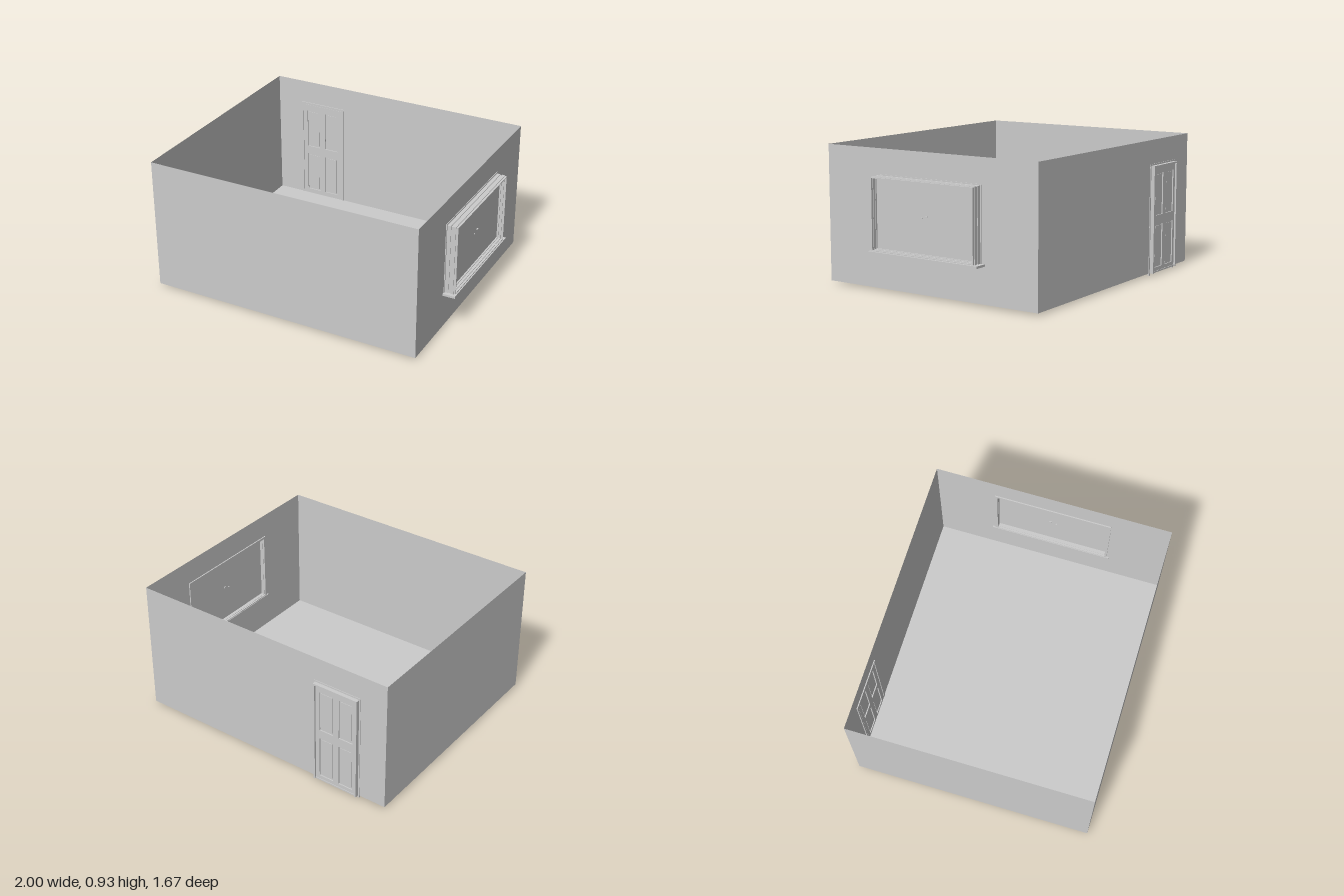
import * as THREE from 'three';

const grey = new THREE.MeshStandardMaterial({ color: 0xcccccc, flatShading: true, side: THREE.DoubleSide });

// room extents
const X0 = -1, X1 = 0.915, Z0 = -0.81, Z1 = 0.835, Y0 = 0.015, Y1 = 0.93;

function add(parent, name, geometry) {
  const mesh = new THREE.Mesh(geometry, grey);
  mesh.name = name;
  parent.add(mesh);
  return mesh;
}

function trace(path, [a0, b0, a1, b1]) {
  path.moveTo(a0, b0);
  path.lineTo(a1, b0);
  path.lineTo(a1, b1);
  path.lineTo(a0, b1);
  path.closePath();
  return path;
}

// rectangle [left, bottom, right, top] with rectangular holes
function plate(rect, holes = []) {
  const shape = trace(new THREE.Shape(), rect);
  shape.holes = holes.map(h => trace(new THREE.Path(), h));
  return shape;
}

const inset = ([a, b, c, d], t) => [a + t, b + t, c - t, d - t];

// slab facing z, between z0 and z1
function slabZ(shape, z0, z1) {
  return new THREE.ExtrudeGeometry(shape, { depth: z1 - z0, bevelEnabled: false }).translate(0, 0, z0);
}

// slab facing x, drawn in (z, y), between x0 and x1
function slabX(shape, x0, x1) {
  return new THREE.ExtrudeGeometry(shape, { depth: x1 - x0, bevelEnabled: false })
    .rotateY(-Math.PI / 2).translate(x1, 0, 0);
}

// box from its min and max corners
function block(x0, y0, z0, x1, y1, z1) {
  return new THREE.BoxGeometry(x1 - x0, y1 - y0, z1 - z0)
    .translate((x0 + x1) / 2, (y0 + y1) / 2, (z0 + z1) / 2);
}

const windowRect = [-0.39, 0.268, 0.42, 0.755];
const doorRect = [-0.80, 0.015, -0.47, 0.755];

// paper-thin walls and floor, open at the top
function createRoom() {
  const room = new THREE.Group();
  room.name = 'room';
  const floor = new THREE.PlaneGeometry(X1 - X0, Z1 - Z0).rotateX(-Math.PI / 2);
  add(room, 'floor', floor.translate((X0 + X1) / 2, Y0, (Z0 + Z1) / 2));

  const across = [X0, Y0, X1, Y1], along = [Z0, Y0, Z1, Y1];
  const doorHole = [-0.795, 0.02, -0.475, 0.75];
  add(room, 'frontWall', new THREE.ShapeGeometry(plate(across)).translate(0, 0, Z1));
  add(room, 'backWall', new THREE.ShapeGeometry(plate(across, [doorHole])).translate(0, 0, Z0));
  add(room, 'rightWall', new THREE.ShapeGeometry(plate(along)).rotateY(-Math.PI / 2).translate(X0, 0, 0));
  add(room, 'leftWall', new THREE.ShapeGeometry(plate(along, [inset(windowRect, 0.005)]))
    .rotateY(-Math.PI / 2).translate(X1, 0, 0));
  return room;
}

function createWindow() {
  const win = new THREE.Group();
  win.name = 'window';

  // stepped casing: [x0, x1, inset of the outer edge, inset of the opening]
  const rings = [
    [0.92, 0.945, 0, 0.01],
    [0.945, 0.96, 0.004, 0.018],
    [0.96, 0.978, 0, 0.014],
    [0.978, 0.993, 0.004, 0.01],
  ];
  for (const [x0, x1, outer, inner] of rings) {
    add(win, 'windowFrame', slabX(plate(inset(windowRect, outer), [inset(windowRect, inner)]), x0, x1));
  }
  // trim against the wall, seen from the room
  add(win, 'windowTrim', slabX(plate([-0.40, 0.262, 0.428, 0.763], [inset(windowRect, 0.008)]), 0.907, 0.92));
  add(win, 'windowSill', block(0.903, 0.255, -0.42, 1, 0.27, 0.443));
  add(win, 'windowPane', slabX(plate(inset(windowRect, 0.01)), 0.944, 0.949));

  // small latch showing on both sides of the pane
  add(win, 'latchBase', block(0.937, 0.525, -0.012, 0.956, 0.533, 0.004));
  add(win, 'latchGrip', block(0.937, 0.513, 0.034, 0.954, 0.519, 0.044));
  return win;
}

function createDoor() {
  const door = new THREE.Group();
  door.name = 'door';

  // leaf with four sunken panels
  const panels = [];
  for (const [x0, x1] of [[-0.763, -0.66], [-0.615, -0.512]]) {
    for (const [y0, y1] of [[0.05, 0.345], [0.41, 0.70]]) panels.push([x0, y0, x1, y1]);
  }
  const leaf = inset(doorRect, 0.008);
  add(door, 'doorLeaf', slabZ(plate(leaf, panels), -0.828, -0.806));
  for (const p of panels) {
    add(door, 'sunkenPanel', slabZ(plate(p), -0.820, -0.814));
    add(door, 'raisedField', slabZ(plate(inset(p, 0.01)), -0.823, -0.811));
  }

  // casing outside and thin trim inside: jambs on both sides and a head
  const [x0, y0, x1, y1] = doorRect;
  for (const [a, b] of [[x0, x0 + 0.012], [x1 - 0.012, x1]]) {
    add(door, 'doorJamb', block(a, y0, -0.84, b, y1, -0.808));
  }
  add(door, 'doorHead', block(x0, y1 - 0.012, -0.84, x1, y1, -0.808));
  add(door, 'threshold', block(x0, y0, -0.832, x1, y0 + 0.01, -0.808));
  for (const [a, b] of [[x0 - 0.01, x0 + 0.003], [x1 - 0.003, x1 + 0.01]]) {
    add(door, 'doorTrim', block(a, 0, -0.814, b, 0.765, -0.803));
  }
  add(door, 'doorTrimHead', block(x0 - 0.01, y1 - 0.003, -0.814, x1 + 0.01, 0.765, -0.803));
  return door;
}

export function createModel() {
  const model = new THREE.Group();
  model.name = 'openRoom';
  model.add(createRoom(), createWindow(), createDoor());
  return model;
}
